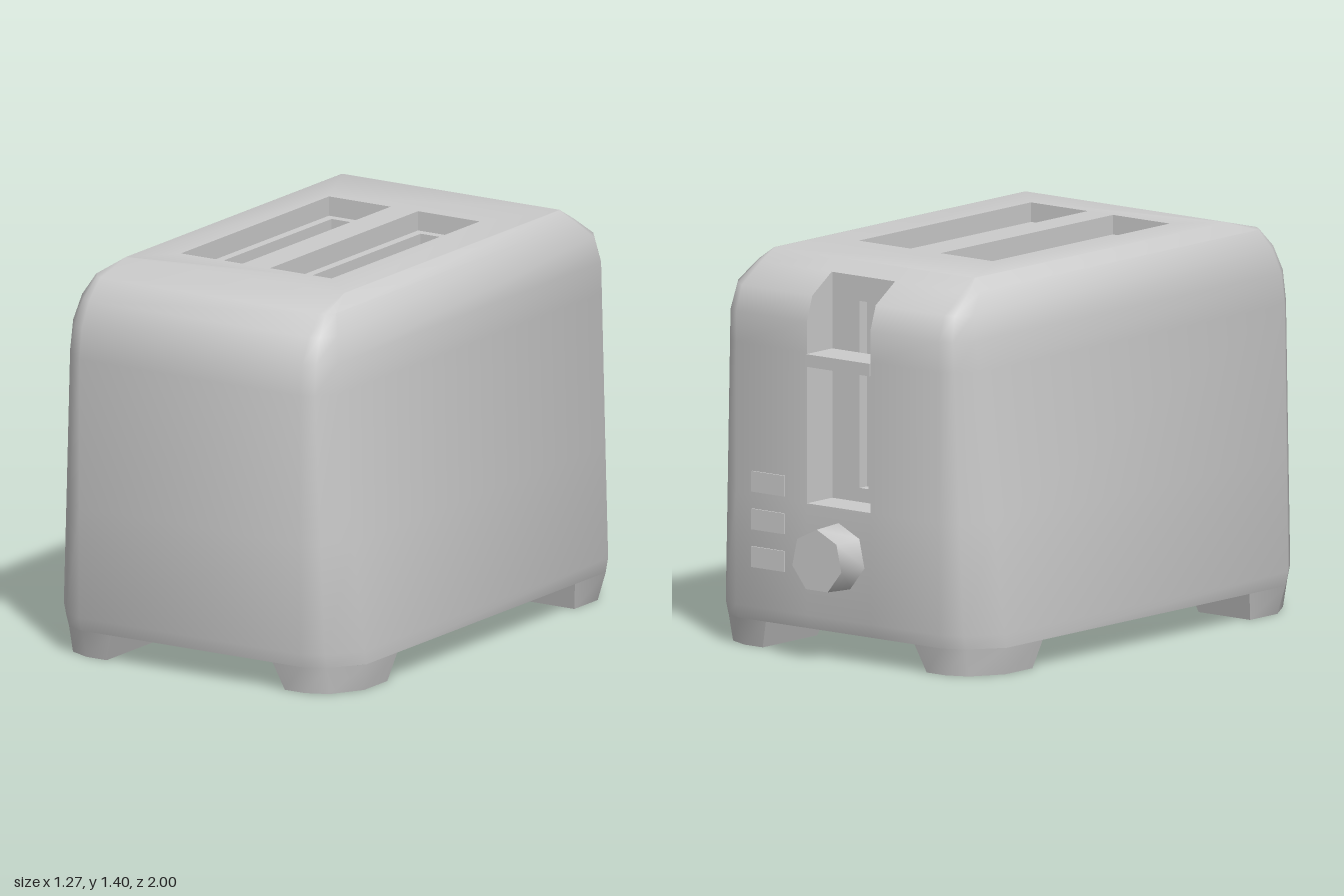
import * as THREE from 'three';
import { toCreasedNormals } from 'three/addons/utils/BufferGeometryUtils.js';

const grey = () => new THREE.MeshStandardMaterial({ color: 0xcccccc });
const MID_Z = 0.06; // the shell is symmetric about this z
const NOTCH = { left: 0.14, right: -0.15, bottom: 0.55, top: 1.36, back: -0.74 };

// Collects triangles from rings of [x, y, z] points
class Surface {
  constructor() { this.pos = []; }
  tri(a, b, c) { this.pos.push(...a, ...b, ...c); }
  quad(a, b, c, d) { this.tri(a, b, c); this.tri(a, c, d); }
  strip(a, b, closed = true, skip = -1) {
    const n = a.length;
    for (let i = 0; i < (closed ? n : n - 1); i++) {
      const j = (i + 1) % n;
      if (i !== skip) this.quad(a[i], a[j], b[j], b[i]);
    }
  }
  cap(ring, down = false) {
    const r = down ? [...ring].reverse() : ring;
    for (let i = 1; i < r.length - 1; i++) this.tri(r[0], r[i], r[i + 1]);
  }
  add(geometry) { this.pos.push(...geometry.toNonIndexed().attributes.position.array); }
  mesh(name, crease = 0.85) {
    const g = new THREE.BufferGeometry();
    g.setAttribute('position', new THREE.Float32BufferAttribute(this.pos, 3));
    const m = new THREE.Mesh(toCreasedNormals(g, crease), grey());
    m.name = name;
    return m;
  }
}

// Rectangle ring, counter-clockwise seen from above
const rect = (x0, x1, z0, z1, y) => [[x0, y, z1], [x1, y, z1], [x1, y, z0], [x0, y, z0]];

// Body cross-section with chamfered corners; points 6 and 7 border the lever notch
function bodyRing([y, hw, zf, zb]) {
  const k = Math.max((hw - 0.46) / 0.175, 0.03);
  const corner = (sx, z, sz) => [
    [sx * (hw - 0.17 * k), y, z],
    [sx * (hw - 0.09 * k), y, z - sz * 0.04 * k],
    [sx * hw, y, z - sz * 0.16 * k],
  ];
  return [
    ...corner(1, zf, 1),
    ...corner(1, zb, -1).reverse(),
    [NOTCH.left, y, zb], [NOTCH.right, y, zb],
    ...corner(-1, zb, -1),
    ...corner(-1, zf, 1).reverse(),
  ];
}

// Slot outlines in the top face: [x0, x1, z0, z1]
const slots = [-0.195, 0.18].map((x) => [x - 0.13, x + 0.13, -0.39, 0.56]);

function makeBody() {
  const s = new Surface();
  // height, half width, front z, back z
  const levels = [
    [0.1, 0.632, 0.985, -0.865],
    [0.15, 0.633, 1, -0.88],
    [NOTCH.bottom, 0.604, 1, -0.88],
    [1.09, 0.567, 1, -0.88],
    [1.2, 0.559, 0.985, -0.88],
    [1.29, 0.538, 0.94, -0.85],
    [NOTCH.top, 0.505, 0.87, -0.743],
    [1.4, 0.46, 0.71, -0.68],
  ];
  const rings = levels.map(bodyRing);
  for (let i = 0; i < rings.length - 1; i++) {
    const inNotch = levels[i][0] >= NOTCH.bottom && levels[i][0] < NOTCH.top;
    s.strip(rings[i], rings[i + 1], true, inNotch ? 6 : -1);
    // notch side walls
    if (!inNotch) continue;
    const a = rings[i], b = rings[i + 1];
    const deep = (p) => [p[0], p[1], NOTCH.back];
    s.quad(a[6], deep(a[6]), deep(b[6]), b[6]);
    s.quad(deep(a[7]), a[7], b[7], deep(b[7]));
  }
  // notch floor
  s.cap(rect(NOTCH.right, NOTCH.left, -0.88, NOTCH.back, NOTCH.bottom));
  s.cap(rings[0], true);

  // top face with two slot openings
  const flat = (ring) => ring.map(([x, , z]) => new THREE.Vector2(x, -z));
  const top = new THREE.Shape(flat(rings.at(-1)));
  for (const o of slots) top.holes.push(new THREE.Path(flat(rect(...o, 1.4))));
  s.add(new THREE.ShapeGeometry(top).rotateX(-Math.PI / 2).translate(0, 1.4, 0));
  return s.mesh('body');
}

// Stepped well below each slot opening
function makeSlot([x0, x1, z0, z1]) {
  const s = new Surface(), t = 0.033;
  const inner = (y) => rect(x0 + t, x1 - t, z0 + t, z1 - t, y);
  const rings = [rect(x0, x1, z0, z1, 1.4), rect(x0, x1, z0, z1, 1.33), inner(1.33), inner(0.5)];
  for (let i = 0; i < 3; i++) s.strip(rings[i], rings[i + 1]);
  s.cap(rings[3]);
  return s.mesh('breadSlot');
}

// Tapered corner foot, mirrored to each corner
function makeFoot(sx, sz) {
  const place = (pts, y) => {
    const r = pts.map(([x, z]) => [sx * x, y, sz > 0 ? z : 2 * MID_Z - z]);
    return sx * sz < 0 ? r.reverse() : r;
  };
  const low = place([[0.375, 0.96], [0.46, 0.96], [0.54, 0.925], [0.61, 0.81], [0.61, 0.66], [0.375, 0.66]], 0);
  const high = place([[0.34, 0.985], [0.462, 0.985], [0.543, 0.946], [0.632, 0.828], [0.632, 0.63], [0.34, 0.63]], 0.1);
  const s = new Surface();
  s.strip(low, high);
  s.cap(low, true);
  return s.mesh('foot');
}

function box(name, x0, x1, y0, y1, z0, z1) {
  const m = new THREE.Mesh(new THREE.BoxGeometry(x1 - x0, y1 - y0, z1 - z0), grey());
  m.position.set((x0 + x1) / 2, (y0 + y1) / 2, (z0 + z1) / 2);
  m.name = name;
  return m;
}

// Notch back wall with the narrow slit the lever rides in
function makeLeverTrack() {
  const pts = (x0, x1, y0, y1) => [[x0, y0], [x1, y0], [x1, y1], [x0, y1]].map((p) => new THREE.Vector2(...p));
  const shape = new THREE.Shape(pts(NOTCH.right, NOTCH.left, NOTCH.bottom, NOTCH.top));
  shape.holes.push(new THREE.Path(pts(-0.025, 0.015, 0.6, 1.27)));
  const wall = new THREE.Mesh(new THREE.ExtrudeGeometry(shape, { depth: 0.04, bevelEnabled: false }), grey());
  wall.position.z = NOTCH.back;
  wall.name = 'trackWall';
  const track = new THREE.Group();
  track.name = 'leverTrack';
  track.add(wall, box('trackBacking', -0.06, 0.05, 0.57, 1.3, -0.7, -0.68));
  return track;
}

export function createModel() {
  const model = new THREE.Group();
  model.name = 'toaster';
  model.add(makeBody(), ...slots.map(makeSlot));
  for (const sx of [1, -1]) for (const sz of [1, -1]) model.add(makeFoot(sx, sz));

  model.add(makeLeverTrack());
  model.add(box('lever', NOTCH.right, NOTCH.left, 1.04, 1.085, -0.885, NOTCH.back));

  // browning knob
  const knobGeo = new THREE.CylinderGeometry(0.115, 0.122, 0.13, 7).rotateX(-Math.PI / 2);
  const knob = new THREE.Mesh(toCreasedNormals(knobGeo, 0.95), grey());
  knob.position.set(-0.005, 0.375, -0.935);
  knob.name = 'knob';
  model.add(knob);

  // three push buttons beside the knob
  for (let i = 0; i < 3; i++) {
    const y = 0.33 + i * 0.135;
    model.add(box('button', 0.24, 0.39, y - 0.037, y + 0.037, -0.886, -0.87));
  }
  return model;
}
